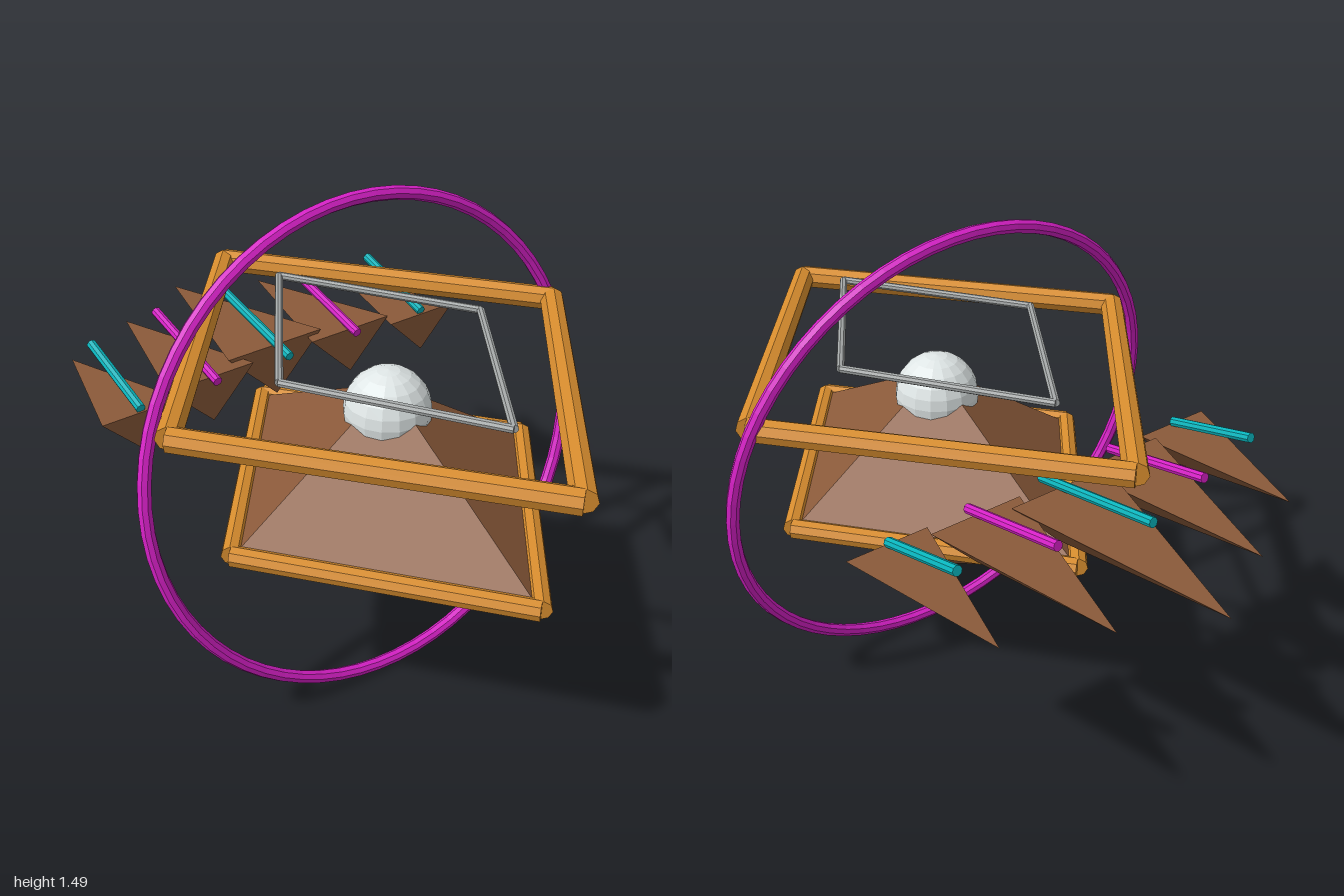
import * as THREE from 'three';

const mat = (color) => new THREE.MeshStandardMaterial({ color, flatShading: true });
const brown = mat(0x8b5a3a);
const orange = mat(0xd68c2e);
const magenta = mat(0xd620c6);
const cyan = mat(0x08b4bc);
const grey = mat(0xa4a8a8);
const pale = mat(0xdfe6e6);

function mesh(name, geometry, material, parent) {
  const m = new THREE.Mesh(geometry, material);
  m.name = name;
  parent.add(m);
  return m;
}

// Straight round bar between two points
function bar(name, a, b, radius, material, parent) {
  const dir = b.clone().sub(a);
  const m = mesh(name, new THREE.CylinderGeometry(radius, radius, dir.length(), 8), material, parent);
  m.position.copy(a).add(b).multiplyScalar(0.5);
  m.quaternion.setFromUnitVectors(new THREE.Vector3(0, 1, 0), dir.normalize());
  return m;
}

// Horizontal diamond frame made of four bars
function diamondFrame(name, y, z, halfX, halfZ, radius, material, parent) {
  const frame = new THREE.Group();
  frame.name = name;
  const corners = [[halfX, 0], [0, halfZ], [-halfX, 0], [0, -halfZ]]
    .map(([cx, cz]) => new THREE.Vector3(cx, y, z + cz));
  corners.forEach((c, i) => bar(name + 'Bar', c, corners[(i + 1) % 4], radius, material, frame));
  parent.add(frame);
}

export function createModel() {
  const model = new THREE.Group();
  model.name = 'diamondCraft';

  // Double pyramid hull with a dome on its peak
  const hull = mesh('hull', new THREE.OctahedronGeometry(1).scale(0.52, 0.36, 0.65), brown, model);
  hull.position.set(0, 0.62, 0.22);
  const dome = mesh('dome', new THREE.SphereGeometry(0.127, 16, 12), pale, model);
  dome.position.set(0, 0.9, 0.22);

  // Stacked diamond frames
  diamondFrame('waistFrame', 0.62, 0.22, 0.53, 0.66, 0.03, orange, model);
  diamondFrame('upperFrame', 1.025, 0.168, 0.665, 0.81, 0.036, orange, model);
  diamondFrame('topFrame', 1.096, 0.2, 0.347, 0.525, 0.012, grey, model);

  // Large leaning ring around the hull
  const ring = mesh('ring', new THREE.TorusGeometry(0.734, 0.02, 8, 64), magenta, model);
  ring.position.set(0, 0.744, 0.165);
  ring.rotation.set(-0.172, -0.03, 0);

  // Five tail spikes, each with a slanted rod above it
  for (let i = -2; i <= 2; i++) {
    const k = Math.abs(i);
    const x = i * 0.26;
    const base = [-0.355, -0.312, -0.27][k];
    const tip = [-1.0, -0.87, -0.74][k];
    const radius = [0.2, 0.174, 0.148][k];
    const cone = new THREE.ConeGeometry(radius, base - tip, 3, 1, false, Math.PI);
    cone.rotateX(-Math.PI / 2).scale(1, 0.59, 1);
    mesh('tailSpike', cone, brown, model).position.set(x, 0.785, (base + tip) / 2);

    bar('tailRod', new THREE.Vector3(x, 0.838, -0.275),
      new THREE.Vector3(x, 0.918, [-0.715, -0.645, -0.575][k]),
      0.015, k === 1 ? magenta : cyan, model);
  }

  return model;
}
